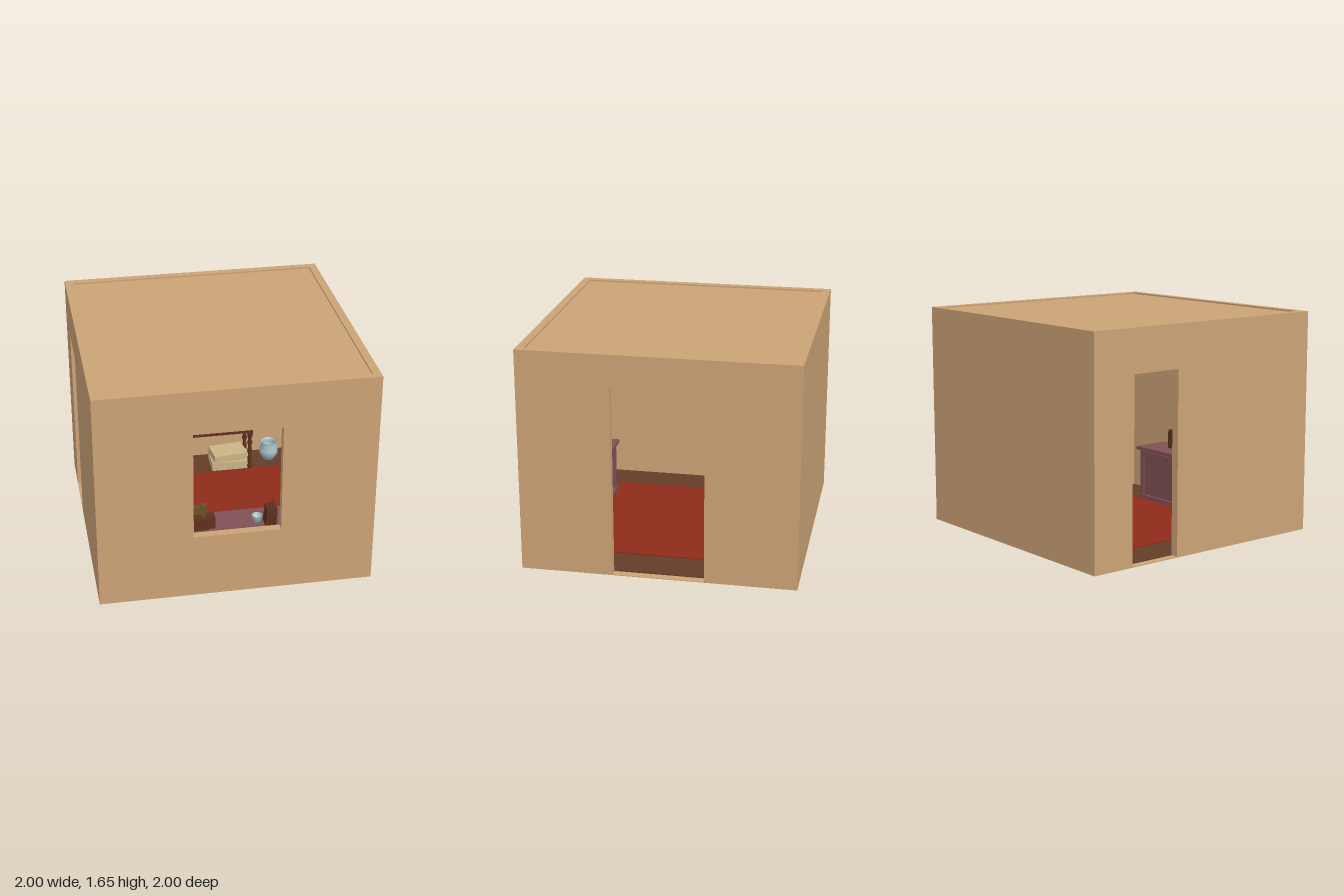
import * as THREE from 'three';

const H = 1.655, T = 0.06;
const mat = (color) => new THREE.MeshStandardMaterial({ color, side: THREE.DoubleSide });
const M = {
  wall: mat(0xcca376), floor: mat(0x643c28), rug: mat(0x8f2b19), wood: mat(0x5e3020),
  mauve: mat(0x805056), lamp: mat(0xb2aa40), olive: mat(0x6b5028), pale: mat(0xa9c2c8),
  beige: mat(0xcbb487), red: mat(0x7c1c10),
};

export function createModel() {
  const room = new THREE.Group();
  room.name = 'room';

  const add = (parent, name, geo, m, x = 0, y = 0, z = 0) => {
    const mesh = new THREE.Mesh(geo, m);
    mesh.name = name;
    mesh.position.set(x, y, z);
    parent.add(mesh);
    return mesh;
  };
  // box given by its base centre
  const box = (parent, name, m, w, h, d, x, y, z) =>
    add(parent, name, new THREE.BoxGeometry(w, h, d), m, x, y + h / 2, z);
  const lathe = (parent, name, m, pts, x, y, z, n = 20) =>
    add(parent, name, new THREE.LatheGeometry(pts.map((p) => new THREE.Vector2(...p)), n), m, x, y, z);
  const group = (name, x = 0, y = 0, z = 0) => {
    const g = new THREE.Group();
    g.name = name;
    g.position.set(x, y, z);
    room.add(g);
    return g;
  };
  const rect = (Kind, x0, x1, y0, y1) => {
    const s = new Kind();
    s.moveTo(x0, y0).lineTo(x1, y0).lineTo(x1, y1).lineTo(x0, y1).closePath();
    return s;
  };

  // walls, each a slab with an optional opening
  const wall = (name, half, hole) => {
    const s = rect(THREE.Shape, -half, half, 0, H);
    if (hole) s.holes.push(rect(THREE.Path, ...hole));
    return add(room, name, new THREE.ExtrudeGeometry(s, { depth: T, bevelEnabled: false }), M.wall);
  };
  wall('frontWallWithWindow', 1, [-0.315, 0.315, 0.495, 1.325]).position.z = 1 - T;
  wall('backWall', 1).position.z = -1;
  const left = wall('leftWallWithDoor', 1 - T, [-0.33, 0.335, 0.005, 1.42]);
  const right = wall('rightWallWithDoor', 1 - T, [0.265, 0.67, 0.005, 1.34]);
  left.rotation.y = right.rotation.y = Math.PI / 2;
  left.position.x = 1 - T;
  right.position.x = -1;

  // floor, rug and roof
  const inner = 2 - 2 * T;
  box(room, 'floor', M.floor, inner, 0.012, inner, 0, 0.001, 0);
  box(room, 'rug', M.rug, 1.32, 0.008, 1.28, 0, 0.013, 0);
  box(room, 'roof', M.wall, inner, 0.01, inner, 0, H - 0.022, 0);

  // table with turned legs by the back wall
  const table = group('table', 0.11, 0.013, -0.765);
  box(table, 'tableTop', M.wood, 0.74, 0.022, 0.31, 0, 0.41, 0);
  box(table, 'apron', M.wood, 0.65, 0.07, 0.24, 0, 0.34, 0);
  const leg = [[0, 0], [0.014, 0], [0.02, 0.03], [0.012, 0.05], [0.018, 0.07], [0.018, 0.11], [0.01, 0.13],
    [0.021, 0.17], [0.012, 0.21], [0.022, 0.25], [0.011, 0.28], [0.02, 0.3], [0.02, 0.34]];
  for (const x of [-0.31, 0.31]) for (const z of [-0.11, 0.11]) {
    lathe(table, 'turnedLeg', M.wood, leg, x, 0, z, 12);
    box(table, 'legBlock', M.wood, 0.045, 0.08, 0.045, x, 0.33, z);
  }

  // table lamp
  const lamp = group('lamp', 0.11, 0.445, -0.82);
  lathe(lamp, 'lampStand', M.lamp, [[0, 0], [0.045, 0], [0.045, 0.012], [0.024, 0.05], [0.013, 0.1], [0.009, 0.19],
    [0.015, 0.205], [0.009, 0.22], [0.008, 0.32], [0, 0.32]], 0, 0, 0);
  lathe(lamp, 'lampShade', M.lamp, [[0.122, 0.27], [0.112, 0.31], [0.07, 0.375], [0.035, 0.42], [0.015, 0.434],
    [0, 0.437]], 0, 0, 0);

  // pale stack under the table
  const stack = group('stackedCushions', 0.27, 0.013, -0.77);
  box(stack, 'lowerCushion', M.beige, 0.32, 0.07, 0.22, 0, 0, 0);
  box(stack, 'upperCushion', M.beige, 0.28, 0.06, 0.19, -0.01, 0.07, 0).rotation.y = 0.12;

  // pot beside the table
  lathe(room, 'pot', M.pale, [[0, 0], [0.045, 0], [0.075, 0.05], [0.078, 0.09], [0.06, 0.13], [0.07, 0.16],
    [0.062, 0.16], [0.05, 0.13], [0.065, 0.08], [0, 0.02]], 0.61, 0.013, -0.8);

  // chest under the window with framed panels on its inward side
  const chest = group('chest', 0, 0.013, 0.78);
  box(chest, 'chestBody', M.mauve, 1.0, 0.41, 0.27, 0, 0, 0.01);
  box(chest, 'chestTop', M.mauve, 1.06, 0.025, 0.31, 0, 0.41, 0);
  box(chest, 'plinth', M.mauve, 1.03, 0.04, 0.29, 0, 0, 0);
  box(chest, 'topRail', M.mauve, 1.0, 0.05, 0.012, 0, 0.35, -0.13);
  for (const x of [-0.48, 0, 0.48]) box(chest, 'stile', M.mauve, 0.04, 0.31, 0.012, x, 0.04, -0.13);

  // sewing machine on the chest
  const machine = group('sewingMachine', -0.3, 0.448, 0.8);
  box(machine, 'machineBase', M.wood, 0.24, 0.09, 0.11, 0, 0, 0);
  const arm = rect(THREE.Shape, -0.1, -0.05, 0.09, 0.185);
  arm.curves.length = 0;
  arm.moveTo(-0.11, 0.09).lineTo(-0.05, 0.09).lineTo(-0.045, 0.125).lineTo(0.07, 0.115).lineTo(0.075, 0.09)
    .lineTo(0.1, 0.09).lineTo(0.11, 0.185).lineTo(0.075, 0.185).lineTo(0.06, 0.17).lineTo(-0.1, 0.185).closePath();
  add(machine, 'machineArm', new THREE.ExtrudeGeometry(arm, { depth: 0.045, bevelEnabled: false }), M.olive, 0, 0, -0.022);
  box(room, 'smallBox', M.wood, 0.06, 0.088, 0.08, -0.16, 0.448, 0.8);

  // books and a dish on the chest
  for (let i = 0; i < 3; i++) {
    const book = box(room, 'book', M.wood, 0.024, 0.15 - 0.008 * i, 0.1, 0.3 - 0.027 * i, 0.448, 0.83);
    book.rotation.z = -0.05 * i;
  }
  lathe(room, 'dish', M.pale, [[0, 0], [0.025, 0], [0.04, 0.055], [0.035, 0.055], [0.02, 0.01], [0, 0.01]], 0.18, 0.448, 0.8);

  // red rosette on the front wall, beside the window
  const rosette = group('wallRosette', 0.48, 1.34, 0.92);
  for (let i = 0; i < 6; i++) {
    const a = (i * Math.PI) / 3;
    const petal = add(rosette, 'petal', new THREE.ConeGeometry(0.025, 0.06, 6), M.red,
      Math.cos(a) * 0.03, Math.sin(a) * 0.03, 0);
    petal.rotation.z = a + Math.PI / 2;
  }
  return room;
}
